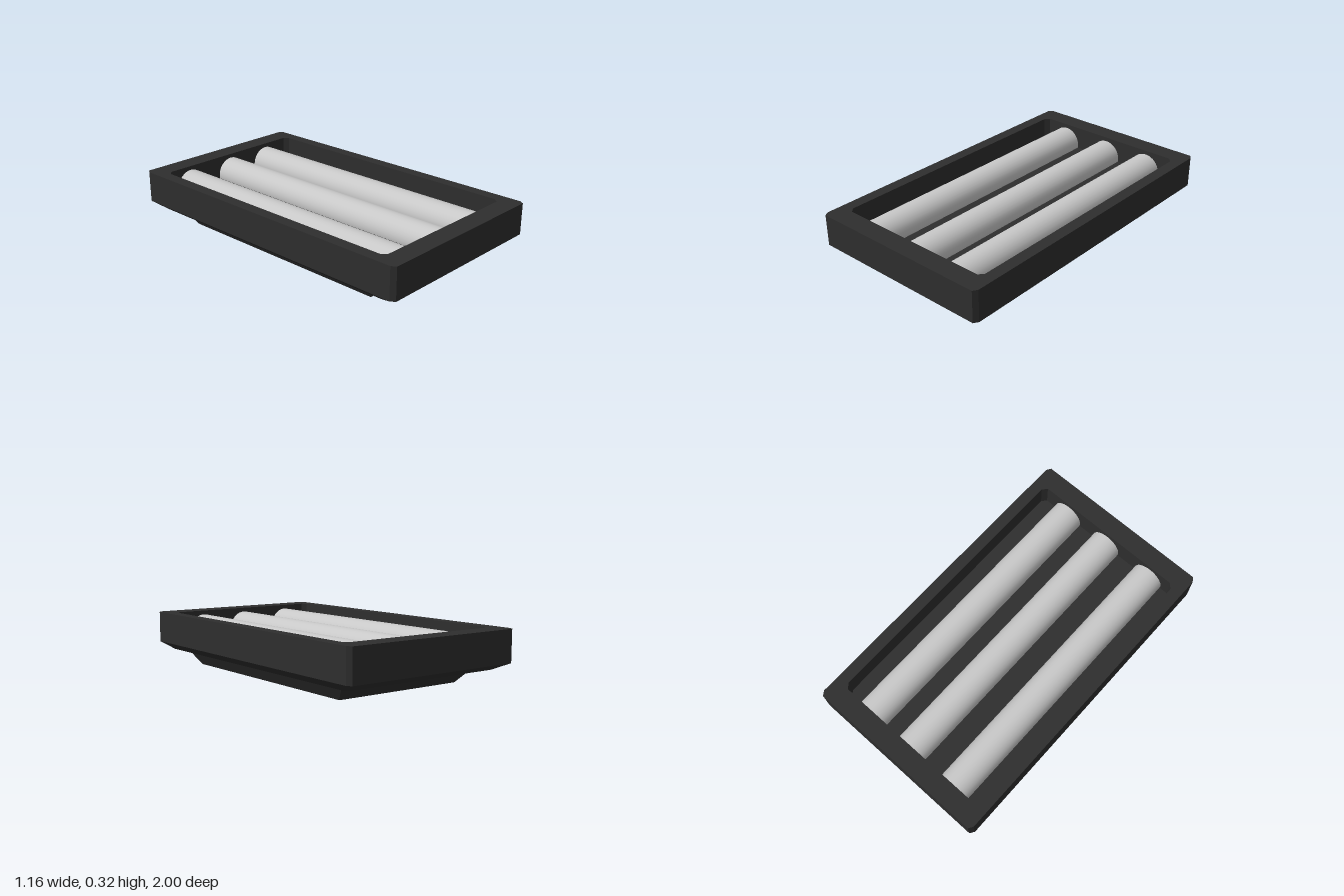
import * as THREE from 'three';

// Rectangle outline with cut corners, as 8 points at height y
function ring(y, hx, hz, cx, cz) {
  return [
    [hx, hz - cz], [hx, -hz + cz], [hx - cx, -hz], [-hx + cx, -hz],
    [-hx, -hz + cz], [-hx, hz - cz], [-hx + cx, hz], [hx - cx, hz],
  ].map(([x, z]) => [x, y, z]);
}

// Flat-faced skin through successive rings, closed at both ends
function loft(rings) {
  const pos = [];
  const tri = (a, b, c) => pos.push(...a, ...b, ...c);
  const n = rings[0].length;
  for (let r = 0; r < rings.length - 1; r++) {
    const lo = rings[r], hi = rings[r + 1];
    for (let i = 0; i < n; i++) {
      const j = (i + 1) % n;
      tri(lo[i], lo[j], hi[j]);
      tri(lo[i], hi[j], hi[i]);
    }
  }
  const first = rings[0], last = rings[rings.length - 1];
  for (let i = 0; i < n; i++) {
    const j = (i + 1) % n;
    tri([0, first[0][1], 0], first[j], first[i]);
    tri([0, last[0][1], 0], last[i], last[j]);
  }
  const g = new THREE.BufferGeometry();
  g.setAttribute('position', new THREE.Float32BufferAttribute(pos, 3));
  g.computeVertexNormals();
  return g;
}

export function createModel() {
  const group = new THREE.Group();
  const housingMat = new THREE.MeshStandardMaterial({ color: 0x2e2e2e });
  housingMat.name = 'charcoal housing';
  const tubeMat = new THREE.MeshStandardMaterial({ color: 0xc8c8c8 });
  tubeMat.name = 'pale grey tube';

  const add = (name, geometry, material) => {
    const mesh = new THREE.Mesh(geometry, material);
    mesh.name = name;
    group.add(mesh);
    return mesh;
  };

  // Tray: bevelled underside, straight walls, flat rim and recessed floor
  add('tray', loft([
    ring(0.083, 0.505, 0.86, 0.015, 0.025),
    ring(0.088, 0.525, 0.9, 0.015, 0.025),
    ring(0.133, 0.582, 1, 0.018, 0.028),
    ring(0.325, 0.582, 1, 0.018, 0.028),
    ring(0.325, 0.51, 0.877, 0.025, 0.03),
    ring(0.18, 0.51, 0.877, 0.025, 0.03),
  ]), housingMat);

  // Tapered mounting base
  add('base', loft([
    ring(0, 0.418, 0.715, 0.004, 0.004),
    ring(0.084, 0.466, 0.8, 0.004, 0.004),
  ]), housingMat);

  // Three lamp tubes running the length of the recess
  [-0.335, 0, 0.31].forEach((x, i) => {
    const g = new THREE.CylinderGeometry(0.1, 0.1, 1.754, 32).rotateX(Math.PI / 2);
    add(`lampTube${i + 1}`, g, tubeMat).position.set(x, 0.2, 0);
  });

  return group;
}
